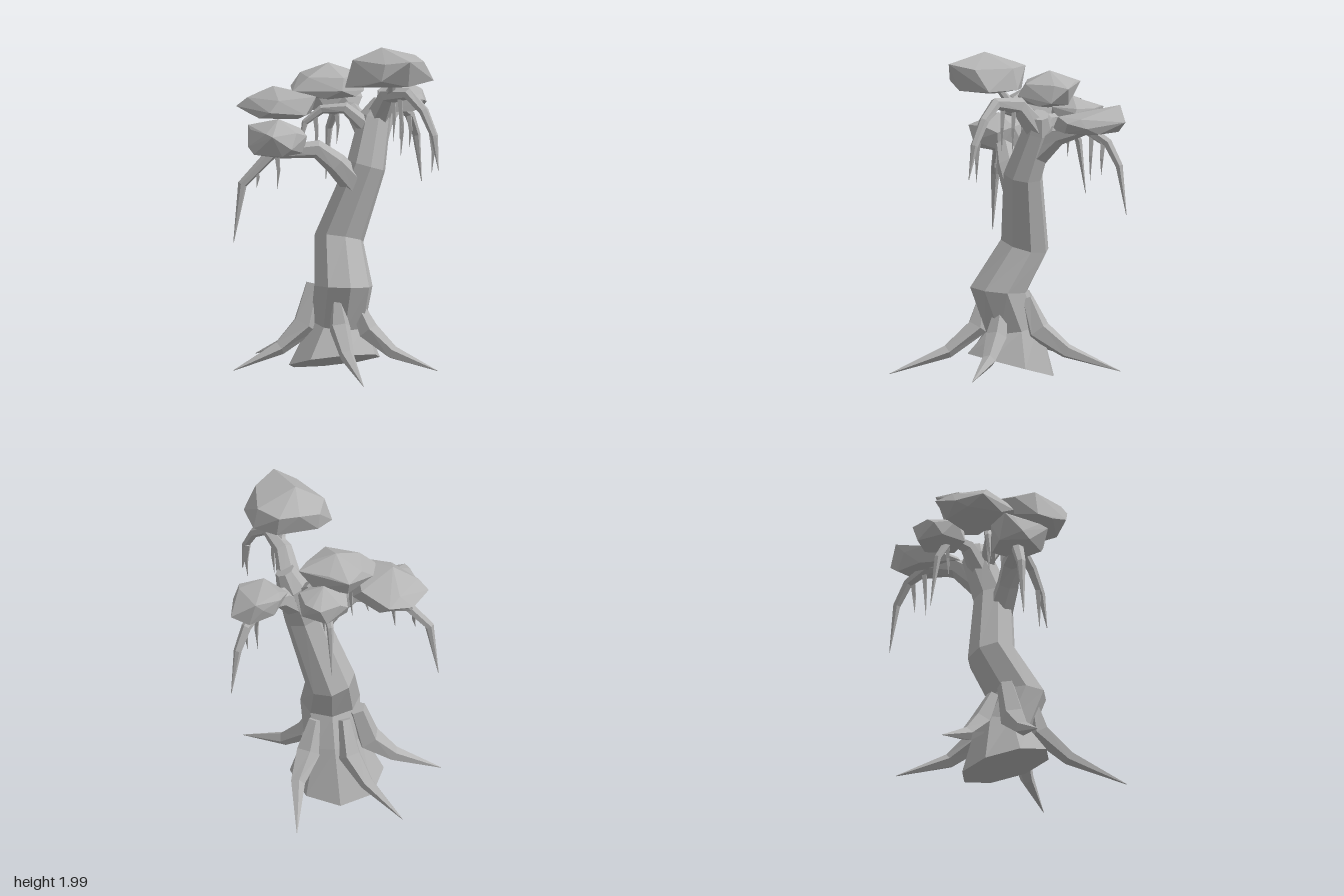
import * as THREE from 'three';
import { ConvexGeometry } from 'three/addons/geometries/ConvexGeometry.js';

const grey = new THREE.MeshStandardMaterial({ color: 0xb4b4b4, flatShading: true });
grey.name = 'stone grey';

const V = (p) => new THREE.Vector3(p[0], p[1], p[2]);

function part(name, geometry) {
  const mesh = new THREE.Mesh(geometry, grey);
  mesh.name = name;
  return mesh;
}

// Faceted limb swept through rings [x, y, z, radius]
function limb(name, rings, sides, { ref, first } = {}) {
  const pts = rings.map(V), n = pts.length;
  const side = ref ? V(ref) : pts[n - 1].clone().sub(pts[0]).cross(new THREE.Vector3(0, 1, 0)).normalize();
  const pos = [], idx = [];
  pts.forEach((p, i) => {
    const t = i === 0 && first ? V(first)
      : pts[Math.min(i + 1, n - 1)].clone().sub(p).normalize()
        .add(p.clone().sub(pts[Math.max(i - 1, 0)]).normalize());
    t.normalize();
    const u = side.clone().addScaledVector(t, -side.dot(t)).normalize();
    const v = t.clone().cross(u);
    for (let j = 0; j < sides; j++) {
      const a = ((j + 0.5) / sides) * Math.PI * 2;
      const q = p.clone().addScaledVector(u, Math.cos(a) * rings[i][3]).addScaledVector(v, Math.sin(a) * rings[i][3]);
      pos.push(q.x, q.y, q.z);
    }
  });
  for (let i = 0; i < n - 1; i++) {
    for (let j = 0; j < sides; j++) {
      const k = (j + 1) % sides, a = i * sides, b = a + sides;
      idx.push(a + j, a + k, b + k, a + j, b + k, b + j);
    }
  }
  // End caps
  const last = (n - 1) * sides;
  for (let j = 1; j < sides - 1; j++) idx.push(0, j + 1, j, last, last + j, last + j + 1);
  const indexed = new THREE.BufferGeometry();
  indexed.setAttribute('position', new THREE.Float32BufferAttribute(pos, 3));
  indexed.setIndex(idx);
  const geo = indexed.toNonIndexed();
  geo.computeVertexNormals();
  return part(name, geo);
}

// Leaf clump: pole-up icosahedron core with a flattened underside, pulled out to a few corners
function clump(name, center, half, yaw, corners) {
  const pts = corners.map(V);
  const lower = 0.7, ring = 0.9;
  for (let i = 0; i < 5; i++) {
    const a = yaw + (i / 5) * Math.PI * 2, b = a + Math.PI / 5;
    pts.push(
      new THREE.Vector3(Math.cos(a) * ring, 0.42, Math.sin(a) * ring),
      new THREE.Vector3(Math.cos(b) * ring, -lower, Math.sin(b) * ring),
    );
  }
  pts.push(new THREE.Vector3(0, -0.97, 0));
  pts.slice(corners.length).forEach((p) => p.multiply(V(half)).add(V(center)));
  return part(name, new ConvexGeometry(pts));
}

export function createModel() {
  const tree = new THREE.Group();
  tree.name = 'tree';

  // Crooked trunk with a slanted foot
  tree.add(limb('trunk', [
    [-0.03, 0.085, 0.015, 0.28], [-0.01, 0.32, 0, 0.168], [0.033, 0.55, 0.08, 0.178],
    [-0.015, 0.81, -0.07, 0.15], [0.147, 1.25, -0.075, 0.12], [0.185, 1.52, -0.17, 0.098],
    [0.23, 1.62, -0.18, 0.06],
  ], 8, { ref: [1, 0, 0], first: [-0.15, 1, -0.25] }));

  // Roots, broad where they leave the trunk
  [
    ['leftwardRoot', [[-0.15, 0.55, 0.03, 0.055], [-0.2, 0.31, 0.08, 0.08], [-0.34, 0.18, 0.145, 0.045], [-0.6, 0.055, 0.26, 0.002]]],
    ['frontRoot', [[0.01, 0.49, 0.18, 0.03], [0.03, 0.32, 0.21, 0.065], [0.1, 0.18, 0.38, 0.043], [0.245, 0.06, 0.71, 0.002]]],
    ['rightwardRoot', [[0.11, 0.43, 0.06, 0.04], [0.18, 0.28, 0.08, 0.065], [0.33, 0.16, 0.11, 0.042], [0.61, 0.07, 0.18, 0.002]]],
    ['backRoot', [[0.07, 0.5, -0.09, 0.04], [0.09, 0.31, -0.16, 0.075], [0.1, 0.19, -0.33, 0.045], [0, 0.06, -0.64, 0.002]]],
    ['backCornerRoot', [[-0.1, 0.51, -0.05, 0.04], [-0.16, 0.31, -0.12, 0.07], [-0.29, 0.18, -0.19, 0.043], [-0.55, 0.06, -0.31, 0.002]]],
  ].forEach(([name, rings]) => tree.add(limb(name, rings, 5)));

  // Drooping branches
  [
    ['lowBranch', [[0.09, 1.14, -0.03, 0.08], [-0.02, 1.275, 0.03, 0.068], [-0.13, 1.365, 0.06, 0.056],
      [-0.39, 1.345, 0.12, 0.038], [-0.56, 1.16, 0.16, 0.028], [-0.61, 0.81, 0.18, 0.002]]],
    ['archBranch', [[0.19, 1.5, -0.18, 0.08], [0.28, 1.68, -0.06, 0.055], [0.42, 1.71, 0.06, 0.036],
      [0.52, 1.62, 0.12, 0.03], [0.59, 1.48, 0.17, 0.023], [0.62, 1.28, 0.2, 0.002]]],
    ['backBranch', [[0.17, 1.36, -0.13, 0.09], [0.22, 1.5, -0.29, 0.062], [0.28, 1.55, -0.47, 0.04],
      [0.33, 1.47, -0.6, 0.03], [0.36, 1.34, -0.67, 0.024], [0.385, 1.05, -0.715, 0.002]]],
    ['innerBranch', [[0.15, 1.42, -0.14, 0.07], [0.04, 1.56, -0.22, 0.045], [-0.06, 1.57, -0.31, 0.032],
      [-0.12, 1.42, -0.38, 0.022], [-0.145, 1.1, -0.42, 0.002]]],
    ['sideBranch', [[0.14, 1.48, -0.11, 0.05], [0.02, 1.59, -0.08, 0.035], [-0.12, 1.58, -0.08, 0.027],
      [-0.22, 1.5, -0.07, 0.02], [-0.25, 1.34, -0.05, 0.002]]],
    ['crownBranch', [[0.26, 1.64, -0.09, 0.035], [0.31, 1.72, 0, 0.025], [0.32, 1.8, 0.06, 0.02]]],
  ].forEach(([name, rings]) => tree.add(limb(name, rings, 6)));

  // Hanging twigs: top point and length
  [
    [-0.36, 1.35, 0.12, 0.22], [-0.48, 1.26, 0.14, 0.12],
    [0.31, 1.7, -0.04, 0.3], [0.36, 1.7, 0.02, 0.28], [0.57, 1.5, 0.15, 0.24],
    [0.29, 1.54, -0.5, 0.3], [0.33, 1.48, -0.57, 0.2],
    [-0.07, 1.55, -0.33, 0.22], [-0.16, 1.56, -0.08, 0.26],
  ].forEach(([x, y, z, len]) => tree.add(limb('twig', [
    [x, y, z, 0.02], [x + 0.012, y - len * 0.5, z + 0.006, 0.013], [x + 0.004, y - len, z + 0.01, 0.001],
  ], 4, { ref: [1, 0, 0] })));

  // Leaf clumps: centre, half size, turn, outer corners
  tree.add(
    clump('crownClump', [0.315, 1.875, 0.115], [0.25, 0.123, 0.22], 0.3, [
      [0.27, 2, 0.14], [0.47, 1.95, 0.335], [0.3, 1.83, 0.345], [0.09, 1.895, 0.06], [0.06, 1.765, 0.2],
      [0.29, 1.925, -0.105], [0.46, 1.8, -0.075], [0.575, 1.8, 0.085]]),
    clump('middleClump', [-0.1, 1.725, -0.2], [0.2, 0.11, 0.175], 0.9, [
      [-0.1, 1.84, -0.21], [-0.24, 1.76, -0.38], [0.09, 1.755, -0.34], [0.11, 1.67, -0.24],
      [0.01, 1.7, -0.03], [-0.29, 1.69, -0.03], [-0.32, 1.7, -0.17]]),
    clump('leftwardClump', [-0.38, 1.605, -0.12], [0.22, 0.1, 0.2], 0.2, [
      [-0.41, 1.715, -0.07], [-0.485, 1.62, -0.36], [-0.14, 1.67, 0.01], [-0.19, 1.57, 0.09],
      [-0.405, 1.58, 0.1], [-0.63, 1.59, -0.06], [-0.59, 1.57, -0.23]]),
    clump('lowClump', [-0.36, 1.43, 0.11], [0.175, 0.12, 0.17], 0.6, [
      [-0.35, 1.55, 0.12], [-0.54, 1.5, 0.06], [-0.525, 1.385, 0.165], [-0.36, 1.47, 0.3],
      [-0.25, 1.39, 0.26], [-0.18, 1.45, 0.11]]),
    clump('backClump', [0.305, 1.59, -0.48], [0.14, 0.08, 0.2], 0.2, [
      [0.25, 1.69, -0.665], [0.39, 1.605, -0.71], [0.155, 1.63, -0.49], [0.175, 1.54, -0.28],
      [0.22, 1.535, -0.26], [0.45, 1.6, -0.37], [0.45, 1.57, -0.485]]),
    clump('innerClump', [-0.075, 1.595, -0.365], [0.16, 0.095, 0.165], 1.1, [
      [-0.07, 1.69, -0.35], [-0.11, 1.63, -0.53], [0, 1.63, -0.485], [0.08, 1.61, -0.38], [-0.235, 1.6, -0.39]]),
  );
  return tree;
}
